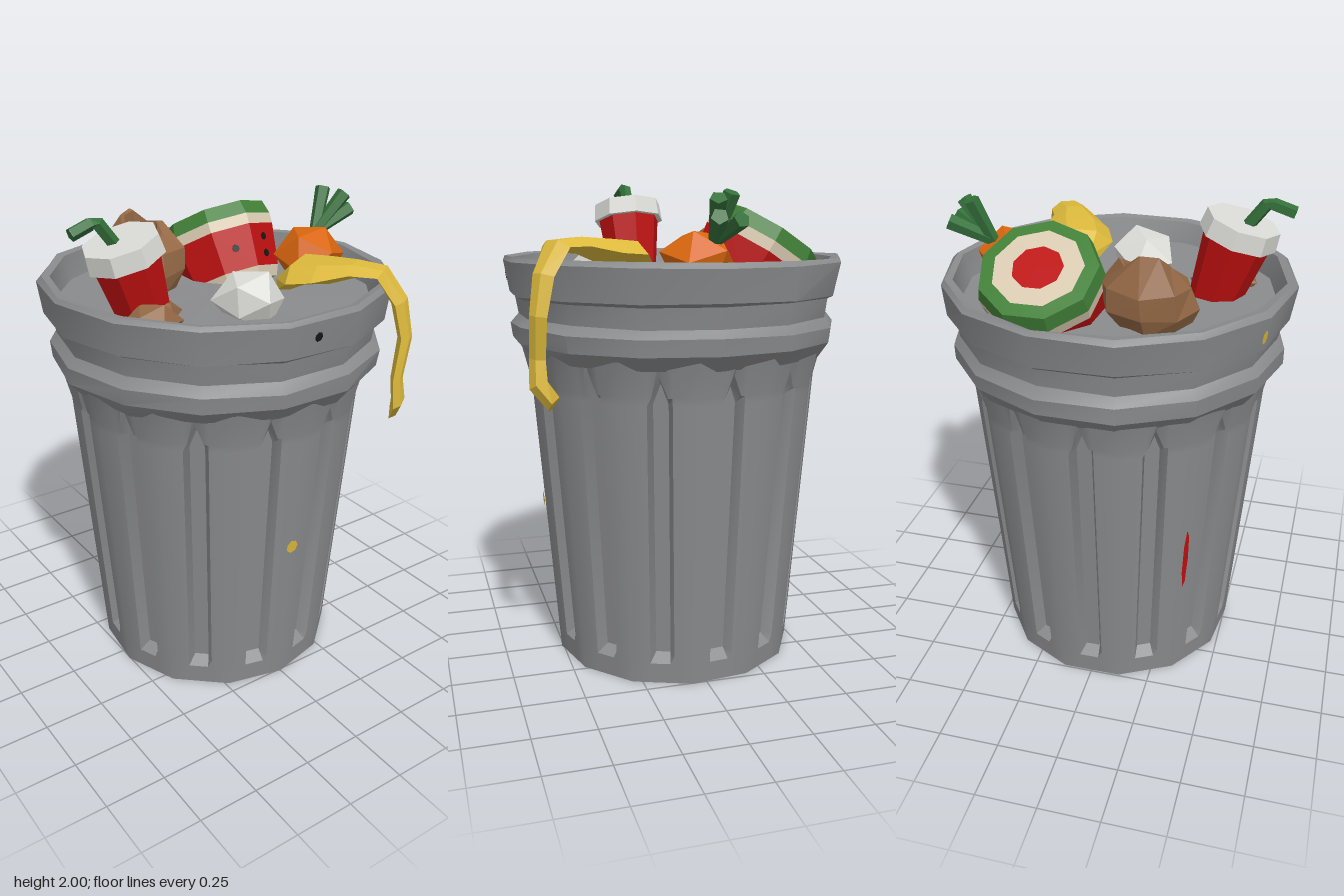
import * as THREE from 'three';
import { toCreasedNormals } from 'three/addons/utils/BufferGeometryUtils.js';

const V = (x, y, z) => new THREE.Vector3(x, y, z);

const mats = {};
for (const [name, hex] of Object.entries({
  steelGrey: 0x8a8b8d, red: 0xbc1010, cream: 0xd8c9b0, leafGreen: 0x417f37, stemGreen: 0x34703a,
  orange: 0xd9660e, brown: 0x936845, yellow: 0xdcb93c, paperWhite: 0xdadad6, black: 0x161616,
})) {
  mats[name] = new THREE.MeshStandardMaterial({ color: hex });
  mats[name].name = name;
}

function add(parent, name, geo, mat, crease = 0.1) {
  const mesh = new THREE.Mesh(toCreasedNormals(geo, crease), mats[mat]);
  mesh.name = name;
  parent.add(mesh);
  return mesh;
}

// Repeatable noise in -1..1
const noise = (a, b = 0, c = 0) => {
  const s = Math.sin(a * 12.99 + b * 78.23 + c * 37.72) * 43758.55;
  return (s - Math.floor(s)) * 2 - 1;
};

// Closed solid through rings of points, counterclockwise around the direction of travel
function loft(rings) {
  const n = rings[0].length, pos = [], idx = [];
  rings.forEach(r => r.forEach(p => pos.push(p.x, p.y, p.z)));
  for (let i = 0; i < rings.length - 1; i++) {
    for (let j = 0; j < n; j++) {
      const k = (j + 1) % n, a = i * n + j, b = i * n + k, c = b + n, d = a + n;
      idx.push(a, b, c, a, c, d);
    }
  }
  const last = (rings.length - 1) * n;
  for (const [base, flip] of [[0, true], [last, false]]) {
    const m = V(0, 0, 0);
    rings[base / n].forEach(p => m.addScaledVector(p, 1 / n));
    const centre = pos.length / 3;
    pos.push(m.x, m.y, m.z);
    for (let j = 0; j < n; j++) {
      const a = base + j, b = base + (j + 1) % n;
      idx.push(...(flip ? [centre, b, a] : [centre, a, b]));
    }
  }
  const g = new THREE.BufferGeometry();
  g.setAttribute('position', new THREE.Float32BufferAttribute(pos, 3));
  g.setIndex(idx);
  return g;
}

// Ring of n points; step 0.5 turns it by half a side
const ring = (r, y, n, rough = 0, step = 0, cx = 0, cz = 0) => Array.from({ length: n }, (_, j) => {
  const t = (j + step) / n * Math.PI * 2, q = r * (1 + rough * noise(j, y, r));
  return V(cx + q * Math.sin(t), y + r * rough * noise(j, r, y), cz + q * Math.cos(t));
});

// Crumpled faceted lump
function lump(parent, name, mat, centre, size, turn, rough = 0.16) {
  const g = new THREE.IcosahedronGeometry(1, 0), p = g.attributes.position;
  for (let i = 0; i < p.count; i++) {
    const [x, y, z] = [p.getX(i), p.getY(i), p.getZ(i)].map(v => Math.round(v * 100) / 100);
    const k = 1 + rough * noise(x + centre[0], y, z);
    p.setXYZ(i, x * k, y * k, z * k);
  }
  g.deleteAttribute('uv');
  g.rotateX(turn).rotateZ(turn * 0.6).scale(...size);
  add(parent, name, g, mat).position.set(...centre);
}

const bodyRadius = y => 0.508 + 0.098 * y / 1.2;

function bin(root) {
  // Thirteen flat panels, each with one recessed flute with a pointed head
  const flutes = 13, outer = 0.05, inner = 0.033, depth = 0.045;
  const rows = [[0, 0], [0.085, 0], [0.12, 1], [1.16, 1], [1.19, 0], [1.33, 0]];
  const rings = rows.map(([y, recessed], row) => {
    const pts = [];
    for (let s = 0; s < flutes; s++) {
      for (const w of [null, -outer, -inner, 0, inner, outer]) {
        const yy = y + (w === 0 && (row === 3 || row === 4) ? 0.08 : 0);
        const corner = bodyRadius(yy) + (row === 5 ? 0.025 : 0);
        const off = w === null ? -Math.PI / flutes : w / corner;
        const panel = corner * Math.cos(Math.PI / flutes) / Math.cos(off);
        const r = panel - (recessed && w !== null && Math.abs(w) < outer ? depth : 0);
        const t = (s + 0.5) / flutes * Math.PI * 2 + off;
        pts.push(V(r * Math.sin(t), yy, r * Math.cos(t)));
      }
    }
    return pts;
  });
  add(root, 'flutedBody', loft(rings), 'steelGrey', 0.52);

  // Ridge, neck, rim and the sunken top inside it
  const profile = [[0.625, 1.295], [0.675, 1.355], [0.682, 1.42], [0.65, 1.455], [0.662, 1.535],
    [0.69, 1.545], [0.713, 1.675], [0.695, 1.695], [0.665, 1.69], [0.64, 1.595]];
  add(root, 'rim', loft(profile.map(([r, y]) => ring(r, y, 14, 0.008, 0.5))), 'steelGrey', 0.49);

  // Small stains: colour, angle, height, width, length, radius
  for (const [mat, t, y, w, h, r] of [['yellow', -0.02, 0.675, 0.055, 0.06, bodyRadius(0.67)],
    ['black', -0.045, 1.62, 0.035, 0.04, 0.69], ['yellow', 4.24, 1.6, 0.03, 0.06, 0.7],
    ['red', 3.89, 0.62, 0.025, 0.31, bodyRadius(0.62)]]) {
    const m = add(root, 'stain', new THREE.CircleGeometry(0.5, 7).scale(w, h, 1), mat);
    m.position.set((r + 0.005) * Math.sin(t), y, (r + 0.005) * Math.cos(t));
    m.rotation.set(r < 0.65 ? 0.08 : 0.17, t, 0, 'YXZ');
  }
}

function cup(root) {
  const g = new THREE.Group();
  g.name = 'drinkCup';
  add(g, 'cupBody', new THREE.CylinderGeometry(0.138, 0.105, 0.28, 8), 'red').position.y = -0.2;
  add(g, 'cupLid', new THREE.CylinderGeometry(0.15, 0.158, 0.075, 8), 'paperWhite').position.y = -0.037;
  g.position.set(-0.475, 1.9, 0.08);
  g.rotation.z = 0.3;
  root.add(g);
  // Bent straw
  const path = new THREE.CurvePath();
  const pts = [V(-0.49, 1.88, 0.07), V(-0.565, 1.98, 0.07), V(-0.67, 1.945, 0.075)];
  path.add(new THREE.LineCurve3(pts[0], pts[1]));
  path.add(new THREE.LineCurve3(pts[1], pts[2]));
  add(root, 'straw', new THREE.TubeGeometry(path, 8, 0.026, 5), 'stemGreen');
  const tip = add(root, 'strawEnd', new THREE.CircleGeometry(0.026, 5), 'stemGreen');
  tip.position.copy(pts[2]);
  tip.lookAt(pts[2].clone().add(V(-0.105, -0.035, 0)));
}

function melon(root) {
  const g = new THREE.Group();
  g.name = 'melon';
  // Colour bands from the hidden tip up the side and across the cut face
  const bands = [['leafGreen', [0, -0.46], [0.17, -0.39]], ['leafGreen', [0.17, -0.39], [0.195, -0.325]],
    ['cream', [0.195, -0.325], [0.215, -0.28]], ['red', [0.215, -0.28], [0.245, -0.105]],
    ['cream', [0.245, -0.105], [0.247, -0.06]], ['leafGreen', [0.247, -0.06], [0.232, 0]],
    ['leafGreen', [0.232, 0], [0.178, 0.006]], ['cream', [0.178, 0.006], [0.1, 0.008]],
    ['red', [0.1, 0.008], [0, 0.008]]];
  for (const [mat, a, b] of bands) {
    const pts = [new THREE.Vector2(...a), new THREE.Vector2(...b)];
    add(g, 'melonBand', new THREE.LatheGeometry(pts, 9), mat);
  }
  for (const [side, y] of [[-1, -0.19], [1, -0.16], [1, -0.23]]) {
    const t = side * Math.PI / 9, r = (0.245 + (y + 0.105) * 0.17) * Math.cos(Math.PI / 9);
    const seed = add(g, 'melonSeed', new THREE.CylinderGeometry(0.016, 0.016, 0.009, 6).rotateX(Math.PI / 2), 'black');
    seed.position.set(r * Math.sin(t), y, r * Math.cos(t));
    seed.rotation.set(0.16, t, 0, 'YXZ');
  }
  g.position.set(0.225, 1.79, -0.34);
  g.rotation.x = -0.56;
  root.add(g);
}

function paperBag(root) {
  // Crumpled sides, torn mouth and hollow inside
  const rings = [[0.14, 1.57], [0.185, 1.66], [0.17, 1.75], [0.095, 1.83], [0.07, 1.82], [0.045, 1.72]]
    .map(([r, y], i) => ring(r, y, 8, 0.09, 0, -0.195 + i * 0.008, -0.24 - i * 0.014));
  // Raised back corner and lowered front lip of the mouth
  [-0.04, -0.02, 0.015, 0.01, 0.06, 0.05, 0.0, -0.03].forEach((dy, j) => {
    rings[3][j].y += dy;
    rings[4][j].y += dy;
  });
  add(root, 'paperBag', loft(rings), 'brown');
}

function carrot(root) {
  lump(root, 'carrot', 'orange', [0.465, 1.69, 0.035], [0.145, 0.135, 0.145], 0.3, 0.1);
  const foot = V(0.525, 1.765, -0.01);
  for (const tip of [V(0.595, 1.94, -0.05), V(0.655, 1.92, 0.02), V(0.695, 1.845, -0.055), V(0.685, 1.855, 0.025)]) {
    const dir = tip.clone().sub(foot);
    const stalk = add(root, 'carrotStalk', new THREE.CylinderGeometry(0.033, 0.024, dir.length(), 5), 'stemGreen');
    stalk.position.copy(foot).addScaledVector(dir, 0.5);
    stalk.quaternion.setFromUnitVectors(V(0, 1, 0), dir.normalize());
  }
}

function peel(root) {
  // Wide crumpled skin narrowing to a strip over the rim: [x, y, z, half width, half thickness]
  const path = [[0.22, 1.64, 0.18, 0.07, 0.04], [0.25, 1.7, 0.26, 0.15, 0.06], [0.285, 1.715, 0.36, 0.14, 0.055],
    [0.335, 1.745, 0.47, 0.085, 0.035], [0.385, 1.745, 0.555, 0.075, 0.03], [0.43, 1.64, 0.61, 0.055, 0.035],
    [0.45, 1.5, 0.635, 0.045, 0.03], [0.42, 1.34, 0.64, 0.045, 0.025], [0.435, 1.24, 0.64, 0.055, 0.028],
    [0.475, 1.175, 0.59, 0.052, 0.022]];
  const at = i => V(...path[Math.max(0, Math.min(path.length - 1, i))].slice(0, 3));
  const rings = path.map(([, , , w, t], i) => {
    const T = at(i + 1).sub(at(i - 1)).normalize();
    const W = V(0.83, 0, -0.56);
    W.addScaledVector(T, -W.dot(T)).normalize();
    const N = T.clone().cross(W);
    return [[1, 0], [0.35, 1], [-0.5, 0.9], [-1, 0], [0, -0.8]]
      .map(([a, b]) => at(i).addScaledVector(W, a * w).addScaledVector(N, b * t));
  });
  add(root, 'fruitPeel', loft(rings), 'yellow');
}

export function createModel() {
  const root = new THREE.Group();
  root.name = 'rubbishBin';
  bin(root);
  cup(root);
  melon(root);
  paperBag(root);
  carrot(root);
  peel(root);
  lump(root, 'crumpledPaper', 'paperWhite', [-0.035, 1.65, 0.29], [0.14, 0.12, 0.14], 0.4);
  lump(root, 'brownScrap', 'brown', [-0.43, 1.615, 0.215], [0.11, 0.08, 0.095], 0.5);
  lump(root, 'brownScrap', 'brown', [-0.34, 1.61, 0.13], [0.075, 0.06, 0.08], 0.9);
  return root;
}
